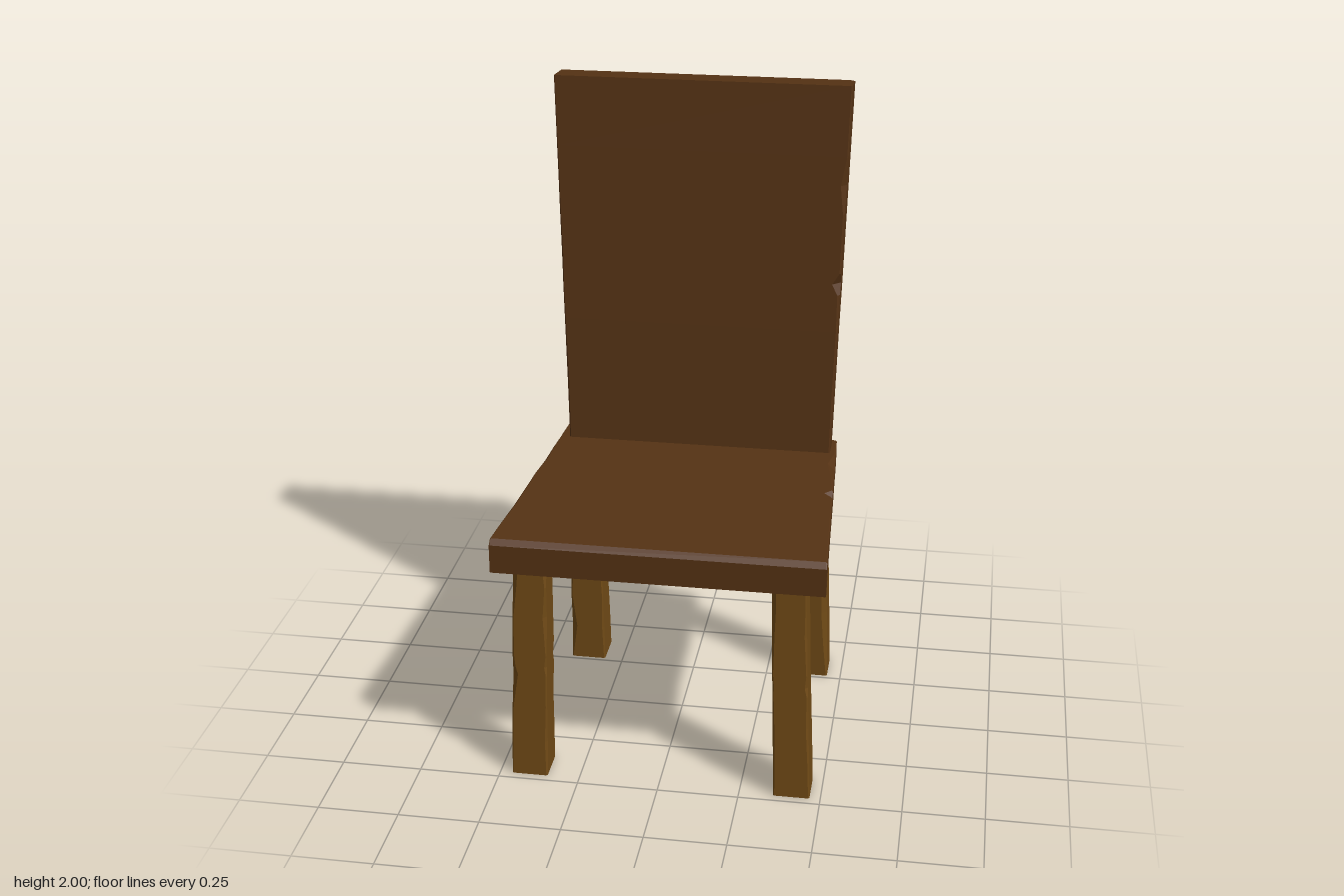
import * as THREE from 'three';

const darkWood = new THREE.MeshStandardMaterial({ color: 0x553214, flatShading: true });
const lightWood = new THREE.MeshStandardMaterial({ color: 0x704a16, flatShading: true });

// Small seeded generator for the hand-hewn wear.
function seeded(seed) {
  let s = seed;
  return () => (s = (s * 16807) % 2147483647) / 2147483647;
}

// Rectangle with its four corners cut, counter-clockwise in (u, v).
function ring([u0, u1, v0, v1], [a, b, c, d]) {
  return [
    [u0, v0 + a], [u0 + a, v0], [u1 - b, v0], [u1, v0 + b],
    [u1, v1 - c], [u1 - c, v1], [u0 + d, v1], [u0, v1 - d],
  ];
}

// Skin sections { w, box, cut } into a closed solid; place maps (u, v, w) to x, y, z.
function hewn(name, material, sections, place) {
  const rings = sections.map(({ w, box, cut }) => ring(box, cut).map(([u, v]) => place(u, v, w)));
  const pos = [];
  const tri = (a, b, c) => pos.push(...a, ...b, ...c);
  for (let i = 0; i < rings.length - 1; i++) {
    for (let j = 0; j < 8; j++) {
      const k = (j + 1) % 8, lo = rings[i], hi = rings[i + 1];
      tri(lo[j], lo[k], hi[k]);
      tri(lo[j], hi[k], hi[j]);
    }
  }
  const first = rings[0], last = rings[rings.length - 1];
  for (let j = 1; j < 7; j++) {
    tri(first[0], first[j + 1], first[j]);
    tri(last[0], last[j], last[j + 1]);
  }
  const geometry = new THREE.BufferGeometry();
  geometry.setAttribute('position', new THREE.Float32BufferAttribute(pos, 3));
  geometry.computeVertexNormals();
  const mesh = new THREE.Mesh(geometry, material);
  mesh.name = name;
  return mesh;
}

const mix = (a, b, t) => a.map((v, i) => v + (b[i] - v) * t);
const alongY = (u, v, w) => [v, w, u]; // u = z, v = x
const alongZ = (u, v, w) => [u, v, w]; // u = x, v = y

// Seat: wider and thicker at the front; cuts are right-under, left-under, left-top, right-top.
function seat() {
  const back = [-0.448, 0.452, 0.73, 0.811], front = [-0.5, 0.5, 0.713, 0.82];
  const rows = [
    [-0.405, 0.002, 0.004, 0.004, 0.002],
    [-0.29, 0.003, 0.004, 0.006, 0.004],
    [-0.21, 0.008, 0.010, 0.024, 0.004],
    [-0.11, 0.004, 0.006, 0.010, 0.008],
    [-0.01, 0.010, 0.010, 0.004, 0.003],
    [0.015, 0.010, 0.012, 0.026, 0.003],
    [0.04, 0.008, 0.014, 0.004, 0.004],
    [0.24, 0.004, 0.024, 0.003, 0.007],
    [0.38, 0.006, 0.012, 0.003, 0.003],
    [0.485, 0.002, 0.003, 0.004, 0.002],
  ];
  const sections = rows.map(([z, ...cut]) => ({ w: z, box: mix(back, front, (z + 0.405) / 0.905), cut }));
  // bevelled top front edge
  sections.push({ w: 0.5, box: [-0.5, 0.5, 0.713, 0.803], cut: [0.002, 0.002, 0.002, 0.002] });
  return hewn('seat', darkWood, sections, alongZ);
}

// Backrest: leans back, widens and thickens upward; cuts are
// rear-right, front-right, front-left, rear-left.
function backrest() {
  const low = [-0.375, -0.297, -0.422, 0.438], high = [-0.5, -0.386, -0.465, 0.466];
  const rows = [
    [0.79, 0.003, 0.003, 0.004, 0.004],
    [1.0, 0.004, 0.006, 0.006, 0.010],
    [1.22, 0.003, 0.004, 0.005, 0.018],
    [1.34, 0.004, 0.003, 0.008, 0.006],
    [1.375, 0.004, 0.004, 0.026, 0.006],
    [1.41, 0.004, 0.005, 0.005, 0.006],
    [1.6, 0.003, 0.003, 0.006, 0.010],
    [1.69, 0.003, 0.004, 0.018, 0.012],
    [1.78, 0.003, 0.003, 0.004, 0.012],
    [2.0, 0.002, 0.002, 0.004, 0.016],
  ];
  const sections = rows.map(([y, ...cut]) => ({ w: y, box: mix(low, high, (y - 0.81) / 1.19), cut }));
  // top face drops slightly toward the rear
  const place = (u, v, w) => [v, w === 2 ? w + (u + 0.386) * 0.08 : w, u];
  return hewn('backrest', darkWood, sections, place);
}

// Leg: splayed post with worn corners; foot and head are [z0, z1, x0, x1].
function leg(name, foot, head, seed) {
  const random = seeded(seed);
  const sections = [0, 0.12, 0.24, 0.35, 0.38, 0.42, 0.55, 0.65, 0.74].map((y, i) => ({
    w: y,
    box: mix(foot, head, y / 0.74),
    cut: [0, 1, 2, 3].map(() => (i === 0 ? 0.004 : 0.003 + 0.017 * random() ** 2)),
  }));
  return hewn(name, lightWood, sections, alongY);
}

export function createModel() {
  const chair = new THREE.Group();
  chair.name = 'chair';
  chair.add(
    seat(),
    backrest(),
    leg('frontLeftLeg', [0.36, 0.474, 0.355, 0.467], [0.35, 0.455, 0.335, 0.437], 11),
    leg('frontRightLeg', [0.36, 0.474, -0.462, -0.35], [0.35, 0.455, -0.442, -0.34], 47),
    leg('rearLeftLeg', [-0.382, -0.264, 0.348, 0.455], [-0.354, -0.257, 0.333, 0.43], 83),
    leg('rearRightLeg', [-0.382, -0.264, -0.425, -0.31], [-0.354, -0.257, -0.42, -0.322], 129),
  );
  return chair;
}
